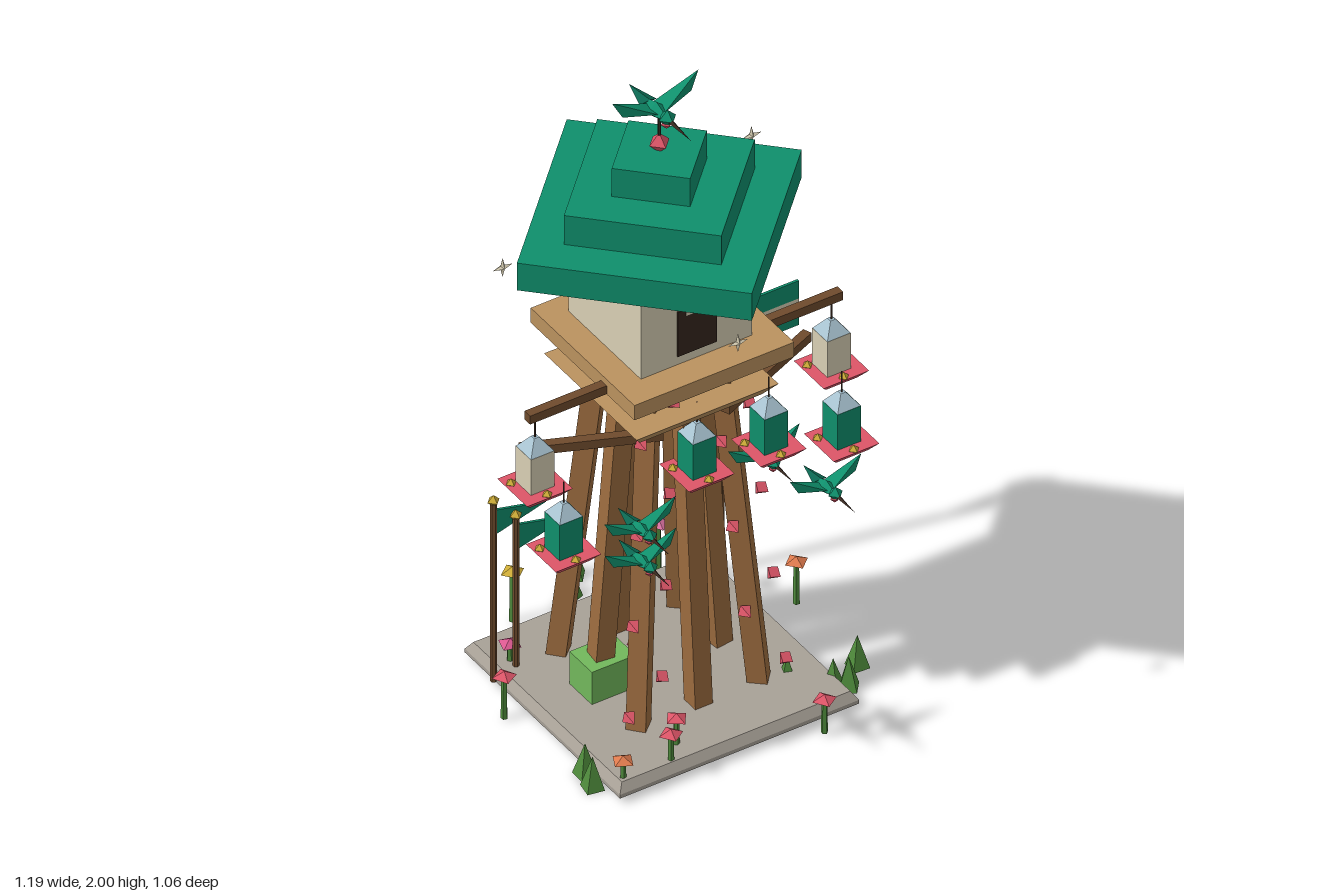
import * as THREE from 'three';
import { ConvexGeometry } from 'three/addons/geometries/ConvexGeometry.js';

const mats = {};
function mat(color, side = THREE.FrontSide) {
  const key = color + '_' + side;
  return (mats[key] ??= new THREE.MeshStandardMaterial({ color, flatShading: true, side }));
}
const GREEN = 0x0f8f6c, DARK_GREEN = 0x0b6650, RED = 0xdd5568, WOOD = 0x9c6c3f, PLANK = 0xbb925f, BEAM = 0x6f4b2d,
  CREAM = 0xd9d0b5, STONE = 0xa8a197, DARK = 0x35261d, GLASS = 0xa9c4d2, GOLD = 0xd0ae38, LEAF = 0x4f8c3c;
const CX = -0.05, CZ = 0.02;   // tower axis

function add(parent, name, geo, color, x = 0, y = 0, z = 0, side) {
  const m = new THREE.Mesh(geo, mat(color, side));
  m.name = name;
  m.position.set(x, y, z);
  parent.add(m);
  return m;
}
function group(parent, name, x = 0, y = 0, z = 0) {
  const g = new THREE.Group();
  g.name = name;
  g.position.set(x, y, z);
  parent.add(g);
  return g;
}
const box = (w, h, d) => new THREE.BoxGeometry(w, h, d);
// square frustum, given half widths
const frustum = (top, bottom, h) =>
  new THREE.CylinderGeometry(top * Math.SQRT2, bottom * Math.SQRT2, h, 4).rotateY(Math.PI / 4);
const gem = (r, sy = 1) => new THREE.OctahedronGeometry(r).scale(1, sy, 1);

// square bar between two points
function bar(parent, name, a, b, w, color, h = w) {
  const p = new THREE.Vector3(...a), q = new THREE.Vector3(...b);
  const m = add(parent, name, box(w, h, p.distanceTo(q)), color);
  m.position.copy(p).add(q).multiplyScalar(0.5);
  m.lookAt(q);
  return m;
}

// bird: long body, fan tail, needle beak and raised wings
function bird(parent, x, y, z, s) {
  const g = group(parent, 'bird', x, y, z);
  g.scale.setScalar(s);
  add(g, 'body', new THREE.OctahedronGeometry(1).scale(0.03, 0.027, 0.07), GREEN);
  add(g, 'head', gem(0.027), GREEN, 0, 0.008, 0.055);
  add(g, 'beak', new THREE.ConeGeometry(0.008, 0.1, 4).rotateX(Math.PI / 2), DARK, 0, 0.005, 0.122);
  add(g, 'throat', gem(0.017), RED, 0, -0.014, 0.05);
  add(g, 'tail', new ConvexGeometry([[0, 0, -0.135], [0.027, 0, -0.04], [-0.027, 0, -0.04], [0, 0.014, -0.03]]
    .map(p => new THREE.Vector3(...p))), DARK_GREEN);
  for (const k of [-1, 1]) {
    add(g, 'wing', new ConvexGeometry([[0.01, 0.005, 0.028], [0.01, 0.005, -0.03], [0.138, 0.075, -0.005], [0.11, 0.022, 0.004]]
      .map(p => new THREE.Vector3(p[0] * k, p[1], p[2]))), GREEN);
  }
}

// hanging lantern, y is the underside of its tray
function lantern(parent, x, y, z, color) {
  const g = group(parent, 'lantern', x, y, z);
  add(g, 'tray', frustum(0.073, 0.05, 0.028), RED, 0, 0.014, 0);
  add(g, 'lanternBody', box(0.075, 0.12, 0.075), color, 0, 0.088, 0);
  add(g, 'lanternCap', frustum(0.008, 0.037, 0.04), GLASS, 0, 0.168, 0);
  add(g, 'hanger', new THREE.CylinderGeometry(0.003, 0.003, 0.07, 4), DARK, 0, 0.22, 0);
  for (const [kx, kz] of [[-0.054, -0.035], [0.054, -0.035], [0, 0.06]])
    add(g, 'knob', gem(0.016), GOLD, kx, 0.03, kz);
}

function pole(parent, x, z, top, w) {
  add(parent, 'flagPole', new THREE.CylinderGeometry(w, w, top - 0.02, 6), BEAM, x, top / 2 + 0.01, z);
  add(parent, 'poleKnob', gem(0.019), GOLD, x, top, z);
}

export function createModel() {
  const root = new THREE.Group();
  root.name = 'watchtower';

  // stone base with a grooved underside
  const profile = [[0, 0.035], [0.27, 0.035], [0.27, 0.02], [0.3, 0.02], [0.3, 0.035], [0.34, 0.035],
    [0.34, 0.018], [0.382, 0.018], [0.382, 0.03], [0.365, 0.056], [0, 0.056]];
  add(root, 'base', new THREE.LatheGeometry(profile.map(([r, y]) => new THREE.Vector2(r * Math.SQRT2, y)), 4, Math.PI / 4),
    STONE, CX, 0, 0.0275);

  // leaning legs at corners and mid sides
  for (const i of [-1, 0, 1]) for (const j of [-1, 0, 1]) {
    if (!i && !j) continue;
    bar(root, 'leg', [CX + i * 0.195, 0.015, CZ - 0.01 + j * 0.2], [CX + i * 0.11, 1.17, CZ + j * 0.115], 0.056, WOOD);
  }

  // decks, cabin and door
  add(root, 'lowerDeck', frustum(0.227, 0.195, 0.042), PLANK, CX, 1.043, 0.025);
  add(root, 'upperDeck', box(0.51, 0.05, 0.51), PLANK, CX, 1.19, 0.03);
  add(root, 'cabin', box(0.355, 0.33, 0.355), CREAM, CX, 1.37, CZ);
  add(root, 'doorway', box(0.125, 0.15, 0.01), DARK, CX, 1.32, CZ + 0.178);
  add(root, 'doorLintel', box(0.075, 0.04, 0.018), CREAM, CX, 1.395, CZ + 0.178);

  // stepped roof turned to a diamond
  [[0.455, 1.515, 1.607], [0.305, 1.607, 1.705], [0.152, 1.705, 1.8]].forEach(([r, lo, hi]) =>
    add(root, 'roofTier', new THREE.CylinderGeometry(r, r, hi - lo, 4), GREEN, CX, (lo + hi) / 2, 0.015));
  add(root, 'finialGem', gem(0.032), RED, CX, 1.824, 0.015);
  add(root, 'finialRod', new THREE.CylinderGeometry(0.005, 0.005, 0.1, 5), DARK, CX, 1.875, 0.015);
  bird(root, CX, 1.925, 0.0, 1);

  // lantern beams
  bar(root, 'upperBeam', [-0.55, 1.18, 0.135], [0.45, 1.18, 0.135], 0.028, BEAM);
  for (const k of [-1, 1])
    bar(root, 'lowerArm', [CX + k * 0.1, 0.99, 0.185], [CX + k * 0.46, 0.99, 0.035], 0.028, BEAM);
  for (const [x, y, z, c] of [[-0.525, 0.918, 0.135, CREAM], [0.422, 0.918, 0.135, CREAM], [-0.495, 0.745, 0.23, GREEN],
    [0.393, 0.745, 0.23, GREEN], [0.095, 0.918, 0.33, GREEN], [-0.05, 0.81, 0.2, GREEN]]) lantern(root, x, y, z, c);

  // circling birds
  for (const [x, y, z] of [[-0.35, 0.88, 0.385], [-0.322, 0.735, 0.345], [0.295, 0.7, 0.305], [0.095, 0.89, 0.31]])
    bird(root, x, y, z, 0.83);

  // striped flag and two pennants
  pole(root, 0.345, -0.295, 0.93, 0.012);
  [[0.855, 0.06, GREEN], [0.81, 0.03, CREAM], [0.765, 0.06, GREEN]].forEach(([y, h, c]) =>
    add(root, 'flagStripe', box(0.25, h, 0.008), c, 0.47, y, -0.295));
  for (const [x, z, top] of [[-0.437, -0.205, 0.63], [-0.375, -0.19, 0.565]]) {
    pole(root, x, z, top, 0.009);
    const s = new THREE.Shape([[0, -0.03], [0.165, -0.07], [0, -0.115]].map(p => new THREE.Vector2(...p)));
    add(root, 'pennant', new THREE.ExtrudeGeometry(s, { depth: 0.008, bevelEnabled: false }), GREEN, x, top, z - 0.004);
  }

  // blossoms winding up the two front legs
  for (const k of [-1, 1]) for (let i = 0; i < 11; i++) {
    const t = i / 10, a = i * 2.1 + k;
    const b = add(root, 'blossom', new THREE.ConeGeometry(0.022, 0.042, 4), RED,
      CX + k * (0.2 - 0.085 * t) + 0.05 * Math.sin(a), 0.12 + 0.95 * t, 0.235 - 0.07 * t + 0.03 * Math.cos(a));
    b.rotation.set(2.6 + Math.sin(a), a, 0.3);
  }

  // bush, grass tufts and flowers
  add(root, 'bush', box(0.14, 0.11, 0.11), 0x72b85c, -0.228, 0.11, 0.01);
  for (const [x, z] of [[0.01, -0.495], [-0.05, -0.425], [0.36, 0.315], [-0.455, 0.31], [0.43, 0.25], [-0.44, 0.25],
    [0.225, 0.22], [0.32, 0.3]])
    add(root, 'grassTuft', new THREE.ConeGeometry(0.036, 0.105, 4), LEAF, x, 0.0525, z).rotation.y = x * 9;
  for (const [x, z, y, c] of [[-0.24, -0.415, 0.17, GOLD], [0.2, -0.375, 0.175, 0xd9709f], [-0.375, -0.22, 0.11, 0xd9588f],
    [0.28, -0.215, 0.175, 0xdd7a4d], [-0.49, -0.07, 0.145, RED], [0.44, -0.065, 0.145, 0xdd7a4d],
    [-0.4, 0.375, 0.11, 0xdd7a4d], [0.195, 0.45, 0.115, RED], [-0.25, 0.38, 0.14, RED], [-0.2, 0.33, 0.14, RED]]) {
    const f = group(root, 'flower', x, 0, z);
    f.rotation.y = x * 7;
    add(f, 'stem', new THREE.CylinderGeometry(0.008, 0.01, y - 0.01, 5), LEAF, 0, y / 2, 0);
    add(f, 'flowerHead', gem(0.035, 0.5), c, 0, y, 0);
  }

  // four-pointed stars
  for (const [x, y, z] of [[-0.437, 1.45, -0.16], [-0.088, 1.45, 0.46], [0.345, 1.58, -0.14]]) {
    const s = group(root, 'star', x, y, z);
    add(s, 'starPoints', new THREE.OctahedronGeometry(1).scale(0.032, 0.008, 0.01), CREAM);
    add(s, 'starPoints', new THREE.OctahedronGeometry(1).scale(0.008, 0.032, 0.01), CREAM);
  }
  return root;
}
